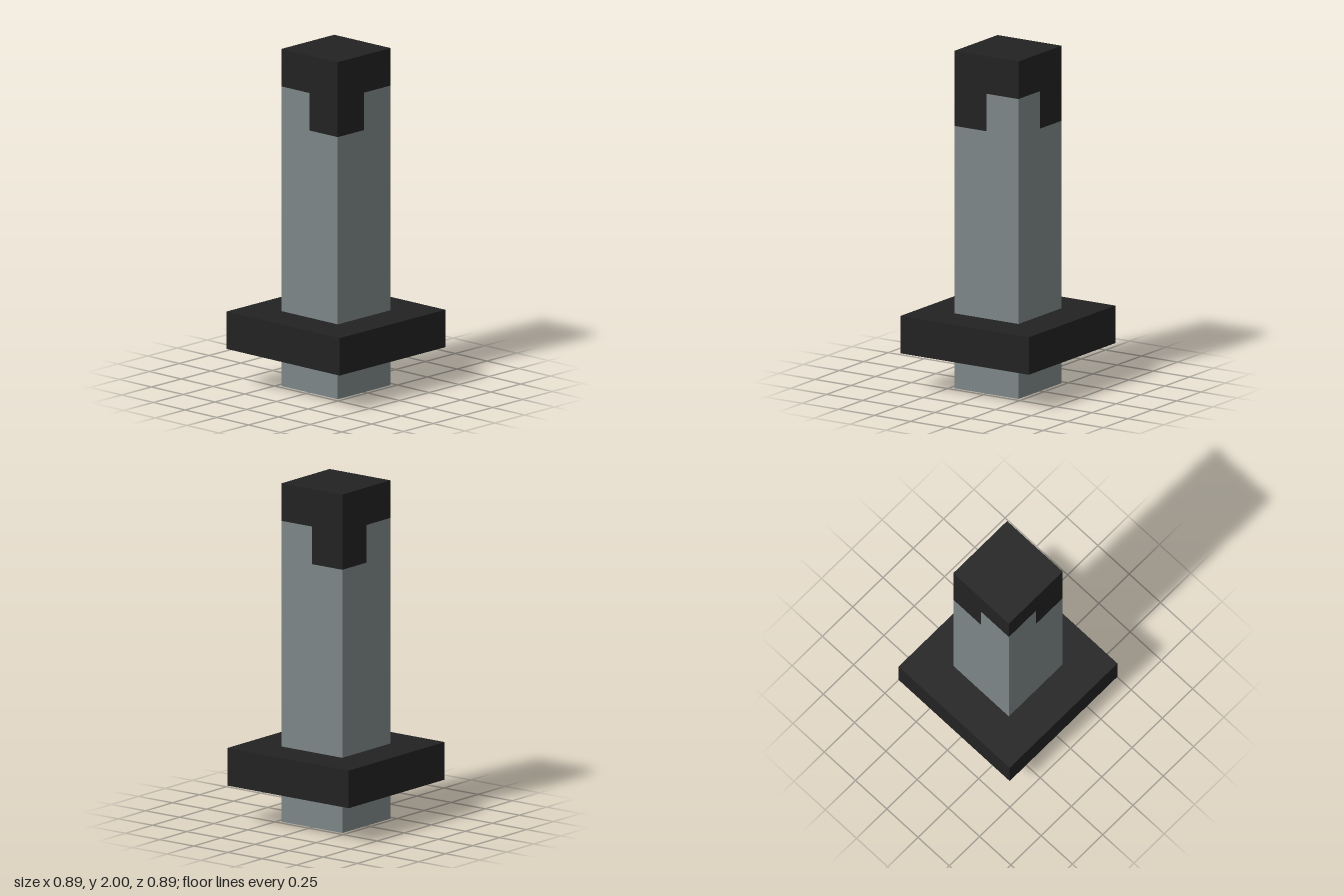
import * as THREE from 'three';

const U = 2 / 9; // one block unit

export function createModel() {
  const model = new THREE.Group();
  const grey = new THREE.MeshStandardMaterial({ name: 'stone grey', color: 0x7d8587 });
  const black = new THREE.MeshStandardMaterial({ name: 'charcoal', color: 0x222222 });

  // Box sized and placed in block units, resting on height y
  function block(name, material, size, x, y, z) {
    const mesh = new THREE.Mesh(new THREE.BoxGeometry(...size.map((s) => s * U)), material);
    mesh.name = name;
    mesh.position.set(x * U, (y + size[1] / 2) * U, z * U);
    model.add(mesh);
  }

  block('shaft', grey, [2, 7, 2], 0, 0, 0);
  block('guard', black, [4, 1, 4], 0, 1, 0);
  block('cap', black, [2, 1, 2], 0, 8, 0);

  // Checkered layer under the cap: dark on two opposite corners
  for (const x of [-0.5, 0.5]) {
    for (const z of [-0.5, 0.5]) {
      const dark = x * z < 0;
      block(dark ? 'capCorner' : 'shaftCorner', dark ? black : grey, [1, 1, 1], x, 7, z);
    }
  }
  return model;
}
